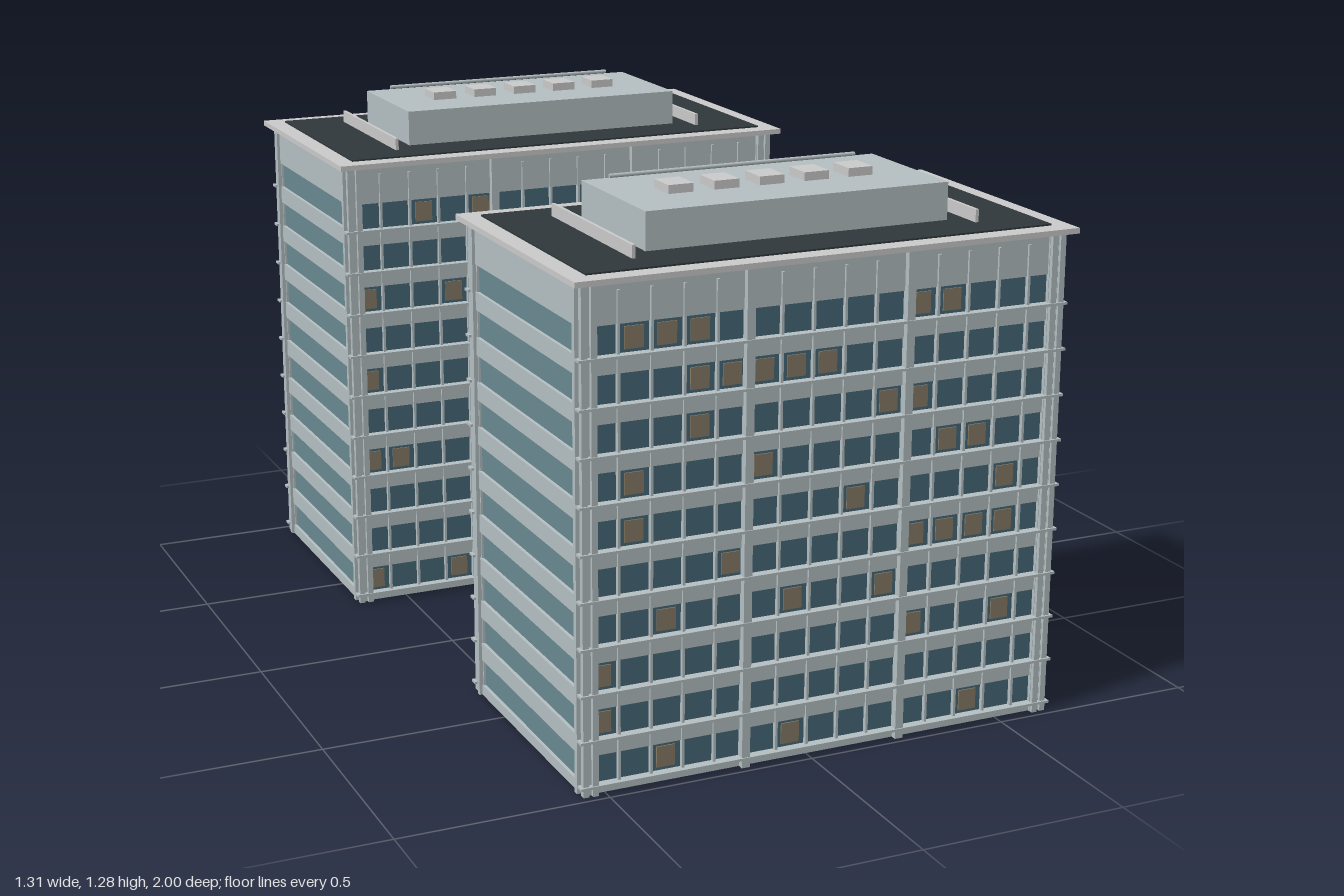
import * as THREE from 'three';
import { mergeGeometries } from 'three/addons/utils/BufferGeometryUtils.js';

const mat = (color) => new THREE.MeshStandardMaterial({ color });
const concrete = mat(0xb5bfc2), trim = mat(0xc5c7c4), deck = mat(0x30383b);
const frontGlass = mat(0x466878), sideGlass = mat(0x688a91), litGlass = mat(0x877c66);

const FLOORS = 10, PITCH = 0.1083, SILL = 0.025, WINDOW_H = 0.065;
const BAY = 0.0775, HALF_BAYS = 7;
const HALF_X = 0.5975, GLASS_X = 0.5575, WALL_TOP = 1.16;

// Lit windows of the main facade by floor, as bay numbers from the centre
const LIT = [[-5, -1, 5], [-7], [-7, 3, 6], [-5, -1, 2], [-3, 3, 4, 5, 6],
  [-6, 1, 6], [-6, -2, 4, 5], [-4, 2, 3], [-4, -3, -2, -1, 0], [-6, -5, -4, 3, 4]];

function seeded(seed) {
  return () => (seed = (seed * 16807) % 2147483647) / 2147483647;
}

// Scattered lit windows for the other facades
function scatter(seed) {
  const rnd = seeded(seed);
  return LIT.map(() => {
    const row = [];
    for (let k = -HALF_BAYS; k <= HALF_BAYS; k++) if (rnd() < 0.22) row.push(k);
    return row;
  });
}

function box(w, h, d, x, y, z) {
  return new THREE.BoxGeometry(w, h, d).translate(x, y, z);
}

// Box between two heights
const slab = (w, d, y0, y1, x = 0, z = 0) => box(w, y1 - y0, d, x, (y0 + y1) / 2, z);

function add(group, name, geometries, material) {
  const mesh = new THREE.Mesh(mergeGeometries(geometries), material);
  mesh.name = name;
  group.add(mesh);
}

function createTower(name, halfZ, frontLit, backLit) {
  const tower = new THREE.Group();
  tower.name = name;
  const face = halfZ - 0.02;      // long facade glass plane
  const sideZ = halfZ - 0.042;    // half width of the end glazing
  const rowY = (i) => SILL + i * PITCH;

  // Glazed cores: blue on the long facades, teal on the ends
  add(tower, 'facadeGlass', [slab(GLASS_X * 2, face * 2, 0.005, WALL_TOP - 0.01)], frontGlass);
  add(tower, 'endGlass', [slab((HALF_X - 0.015) * 2, sideZ * 2, 0.005, WALL_TOP - 0.01)], sideGlass);

  // Spandrel bands between the window rows, with thin sills on the long sides
  const spandrels = [], sills = [];
  for (let i = 0; i <= FLOORS; i++) {
    const y0 = i === 0 ? 0 : rowY(i - 1) + WINDOW_H;
    const y1 = i === FLOORS ? WALL_TOP : rowY(i);
    spandrels.push(slab(GLASS_X * 2, (face + 0.005) * 2, y0, y1));
    spandrels.push(slab((HALF_X - 0.007) * 2, sideZ * 2, y0, y1));
    if (i < FLOORS) {
      for (const s of [-1, 1]) {
        sills.push(slab(HALF_X * 2 + 0.006, 0.022, y1 - 0.006, y1, 0, s * (halfZ - 0.008)));
      }
    }
  }
  add(tower, 'spandrels', spandrels, concrete);
  add(tower, 'sills', sills, concrete);

  // Mullions, pilasters and ribbed corner columns
  const mullions = [], pilasters = [], corners = [];
  for (const s of [-1, 1]) {
    for (let k = -HALF_BAYS; k <= HALF_BAYS + 1; k++) {
      mullions.push(slab(0.006, 0.014, SILL, 1.14, (k - 0.5) * BAY, s * (face + 0.004)));
    }
    for (const x of [-0.197, 0.197]) {
      pilasters.push(slab(0.02, 0.035, 0, WALL_TOP, x, s * (halfZ - 0.0175)));
    }
    for (const t of [-1, 1]) {
      corners.push(slab(0.032, 0.036, 0, WALL_TOP, t * 0.572, s * (halfZ - 0.028)));
      corners.push(slab(0.014, 0.03, 0, WALL_TOP, t * 0.564, s * (halfZ - 0.015)));
      corners.push(slab(0.014, 0.014, 0, WALL_TOP, t * 0.586, s * (halfZ - 0.009)));
      corners.push(slab(0.03, 0.014, 0, WALL_TOP, t * (HALF_X - 0.015), s * (halfZ - 0.035)));
    }
  }
  add(tower, 'mullions', mullions, concrete);
  add(tower, 'pilasters', pilasters, concrete);
  add(tower, 'cornerColumns', corners, concrete);

  // Lit windows
  const lit = [];
  for (const [s, rows] of [[1, frontLit], [-1, backLit]]) {
    rows.forEach((row, i) => row.forEach((k) => {
      lit.push(box(0.045, 0.05, 0.004, k * BAY, rowY(i) + WINDOW_H / 2, s * (face + 0.001)));
    }));
  }
  add(tower, 'litWindows', lit, litGlass);

  // Roof slab and dark deck
  add(tower, 'roofSlab', [slab(1.23, (halfZ + 0.0165) * 2, WALL_TOP, 1.173)], trim);
  add(tower, 'roofDeck', [slab(1.14, (halfZ - 0.03) * 2, 1.17, 1.177)], deck);

  // Low screens at both ends of the roof
  add(tower, 'roofScreens', [-1, 1].map((s) =>
    slab(0.008, halfZ * 1.34, 1.17, 1.207, s * 0.424)), trim);

  // Plant room with roof units and a service pipe
  const d = halfZ / 0.336;
  add(tower, 'plantRoom', [slab(0.75, 0.352 * d, 1.17, 1.265)], concrete);
  add(tower, 'roofUnits', [-2, -1, 0, 1, 2].map((k) =>
    slab(0.062, 0.075 * d, 1.26, 1.285, k * 0.113)), trim);
  add(tower, 'servicePipe', [new THREE.CylinderGeometry(0.005, 0.005, 0.63, 8)
    .rotateZ(Math.PI / 2).translate(0, 1.274, -0.155 * d)], concrete);
  return tower;
}

export function createModel() {
  const model = new THREE.Group();
  model.name = 'twinTowers';

  const near = createTower('frontTower', 0.336, LIT, scatter(4021));
  near.position.set(0.0375, 0, 0.6475);

  const farRows = scatter(977);
  for (const i of [5, 7]) if (!farRows[i].includes(-7)) farRows[i].push(-7);
  const far = createTower('rearTower', 0.322, farRows, scatter(15013));
  far.position.set(-0.0375, 0, -0.6615);

  model.add(near, far);
  return model;
}
